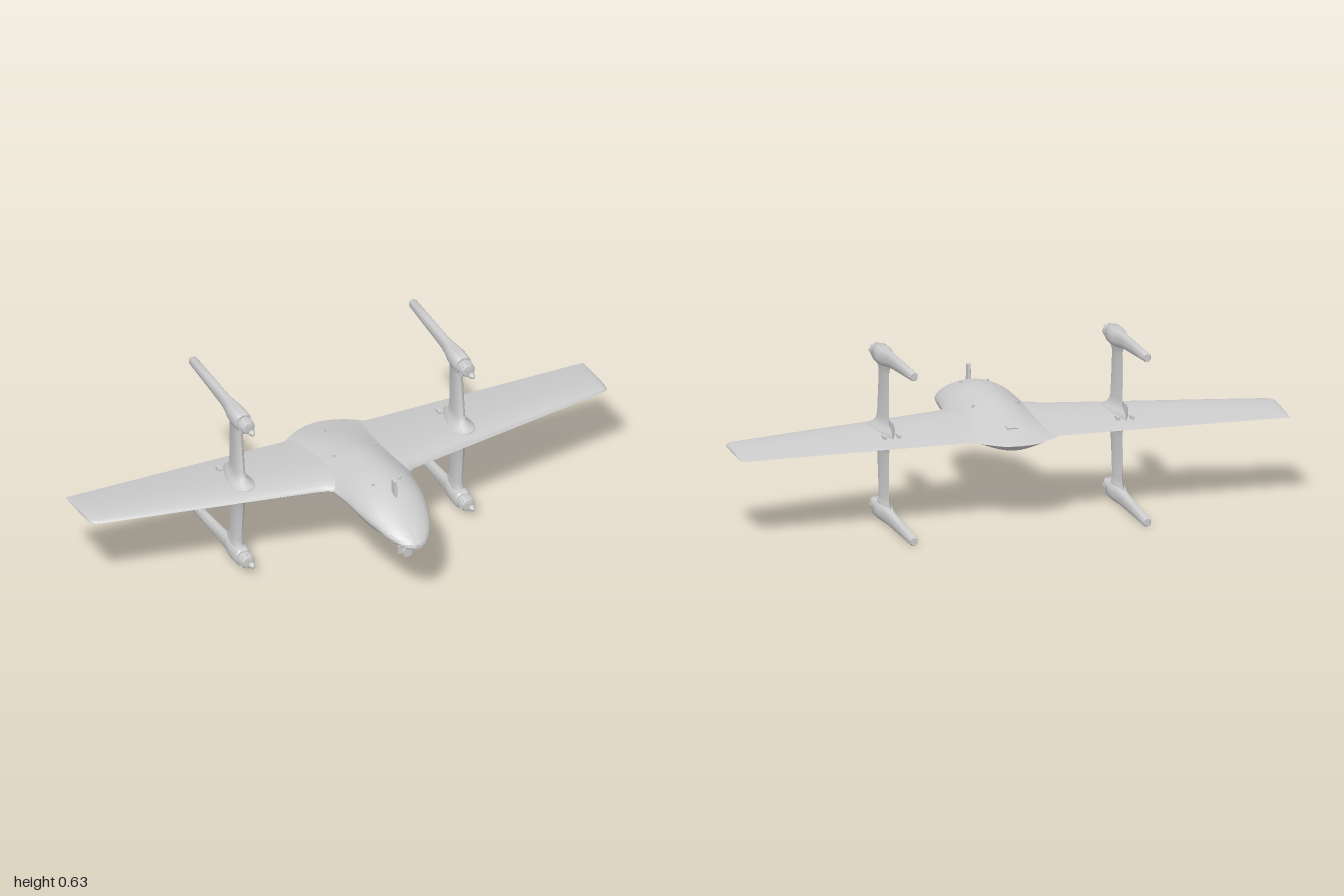
import * as THREE from 'three';
import { toCreasedNormals } from 'three/addons/utils/BufferGeometryUtils.js';

const MID = 0.3135; // height of the mirror plane between upper and lower pods
const PYLON_X = 0.425;
const grey = new THREE.MeshStandardMaterial({ color: 0xcccccc });

// Closed loft through rings of equal point count, with capped ends and outward faces
function loft(rings, crease = 0.7) {
  const n = rings[0].length, pos = [], idx = [];
  rings.forEach(r => r.forEach(p => pos.push(...p)));
  for (let i = 0; i < rings.length - 1; i++)
    for (let j = 0; j < n; j++) {
      const a = i * n + j, b = i * n + (j + 1) % n;
      idx.push(a, b, b + n, a, b + n, a + n);
    }
  const last = (rings.length - 1) * n;
  for (let j = 1; j < n - 1; j++) idx.push(0, j + 1, j, last, last + j, last + j + 1);
  // Signed volume decides the winding
  const v = i => new THREE.Vector3().fromArray(pos, i * 3);
  let volume = 0;
  for (let i = 0; i < idx.length; i += 3) volume += v(idx[i]).dot(v(idx[i + 1]).cross(v(idx[i + 2])));
  if (volume < 0) idx.reverse();
  const g = new THREE.BufferGeometry();
  g.setAttribute('position', new THREE.Float32BufferAttribute(pos, 3));
  g.setIndex(idx);
  return toCreasedNormals(g, crease);
}

// Smoothly resample a table of stations; the first column is the running coordinate
function resample(rows, count) {
  const curves = rows[0].map((_, c) => new THREE.SplineCurve(rows.map(r => new THREE.Vector2(r[0], r[c]))));
  return Array.from({ length: count + 1 }, (_, i) => curves.map(c => c.getPoint(i / count).y));
}

function add(parent, name, geometry, x = 0, y = 0, z = 0) {
  const m = new THREE.Mesh(geometry, grey);
  m.name = name;
  m.position.set(x, y, z);
  parent.add(m);
  return m;
}

// Airfoil outline as [chord fraction, height], max half height about 0.5
function airfoil(n = 14) {
  const h = c => 5 * (0.2969 * Math.sqrt(c) - 0.126 * c - 0.3516 * c * c + 0.2843 * c ** 3 - 0.1036 * c ** 4);
  const pts = [];
  for (let i = 0; i < 2 * n; i++) {
    const c = (1 + Math.cos(Math.PI * i / n)) / 2;
    pts.push([c, (i < n ? 1 : -1) * Math.max(h(c), 0)]);
  }
  return pts;
}

function fuselage() {
  // z, half width, top, bottom, seam height, upper fullness, lower fullness
  const rows = [
    [0.467, 0.018, 0.268, 0.251, 0.258, 0.5, 0.5],
    [0.45, 0.045, 0.283, 0.247, 0.263, 0.5, 0.5],
    [0.4, 0.08, 0.315, 0.244, 0.28, 0.55, 0.55],
    [0.35, 0.1, 0.341, 0.239, 0.295, 0.6, 0.65],
    [0.3, 0.116, 0.363, 0.222, 0.304, 0.6, 0.75],
    [0.24, 0.129, 0.382, 0.21, 0.311, 0.65, 0.85],
    [0.16, 0.139, 0.395, 0.212, 0.315, 0.75, 0.95],
    [0.09, 0.15, 0.396, 0.219, 0.315, 1, 1.05],
    [0, 0.165, 0.39, 0.229, 0.315, 1.4, 1.4],
    [-0.1, 0.17, 0.371, 0.242, 0.314, 1.5, 1.7],
    [-0.2, 0.17, 0.346, 0.253, 0.309, 1.4, 1.8],
    [-0.28, 0.155, 0.321, 0.262, 0.302, 1.2, 1.6],
    [-0.32, 0.108, 0.309, 0.278, 0.3, 1, 1.2],
    [-0.345, 0.06, 0.301, 0.291, 0.297, 0.8, 0.8],
    [-0.355, 0.012, 0.298, 0.296, 0.297, 0.6, 0.6],
  ];
  const n = 48;
  return loft(resample(rows, 60).map(([z, w, top, bottom, seam, ku, kl]) =>
    Array.from({ length: n }, (_, j) => {
      const a = j / n * Math.PI * 2, s = Math.sin(a);
      const y = s >= 0 ? seam + (top - seam) * s ** (2 * ku) : seam - (seam - bottom) * (-s) ** (2 * kl);
      return [w * Math.cos(a), y, z];
    })));
}

function wing() {
  // x, leading edge z, trailing edge z, thickness
  const half = [
    [0.1, 0.11, -0.3, 0.05], [0.14, 0.1, -0.288, 0.048], [0.165, 0.083, -0.284, 0.046],
    [0.2, 0.073, -0.284, 0.043], [0.45, 0.025, -0.286, 0.036], [0.75, -0.032, -0.288, 0.028],
    [0.97, -0.074, -0.29, 0.021], [0.988, -0.08, -0.29, 0.018], [0.997, -0.092, -0.29, 0.012],
    [1, -0.108, -0.288, 0.004],
  ];
  const all = [...half.map(r => [-r[0], ...r.slice(1)]).reverse(), ...half];
  return loft(all.map(([x, le, te, t]) => airfoil().map(([c, h]) =>
    [x, 0.312 - c * 0.009 + h * t * (h > 0 ? 1.4 : 0.5), le + (te - le) * c])));
}

// Vertical strut with flared ends, at x = 0
function pylon() {
  // height above the mirror plane, front z, back z, thickness
  const upper = [
    [0, 0, -0.215, 0.1], [0.022, -0.008, -0.205, 0.085], [0.032, -0.03, -0.185, 0.058],
    [0.045, -0.045, -0.172, 0.04], [0.065, -0.054, -0.167, 0.032], [0.14, -0.063, -0.166, 0.03],
    [0.225, -0.073, -0.166, 0.03], [0.24, -0.072, -0.17, 0.034], [0.252, -0.066, -0.182, 0.042],
    [0.275, -0.062, -0.2, 0.04],
  ];
  const all = [...upper.slice(1).map(r => [-r[0], ...r.slice(1)]).reverse(), ...upper];
  return loft(all.map(([y, f, b, t]) => airfoil(10).map(([c, h]) => [h * t, MID + y, f + (b - f) * c])));
}

// Motor nacelle running back into a slim boom, top side flat
function podBoom() {
  // z, half width, top, bottom
  const rows = [
    [-0.05, 0.025, 0.622, 0.567], [-0.056, 0.03, 0.626, 0.561], [-0.1, 0.031, 0.627, 0.56],
    [-0.13, 0.028, 0.627, 0.561], [-0.16, 0.021, 0.627, 0.566], [-0.2, 0.017, 0.627, 0.574],
    [-0.33, 0.016, 0.627, 0.585], [-0.46, 0.015, 0.627, 0.596], [-0.466, 0.012, 0.624, 0.599],
  ];
  const n = 28, sq = v => Math.sign(v) * Math.abs(v) ** 0.8;
  return loft(rows.map(([z, w, top, bottom]) => Array.from({ length: n }, (_, j) => {
    const a = j / n * Math.PI * 2;
    return [w * sq(Math.cos(a)), (top + bottom) / 2 + (top - bottom) / 2 * sq(Math.sin(a)), z];
  })));
}

// Motor can with ribs and a free spinner ahead of it, axis along z
function motor(parent, y) {
  const g = new THREE.Group();
  g.name = 'motor';
  g.position.y = y;
  const turned = pts => new THREE.LatheGeometry(pts.map(p => new THREE.Vector2(...p)), 24).rotateX(Math.PI / 2);
  add(g, 'motorCan', toCreasedNormals(turned([[0, -0.055], [0.02, -0.055], [0.02, -0.047], [0.026, -0.045],
    [0.026, -0.018], [0.022, -0.008], [0.012, -0.005], [0, -0.005]]), 0.5));
  for (let i = 0; i < 8; i++) {
    const a = i / 8 * Math.PI * 2;
    add(g, 'motorRib', new THREE.BoxGeometry(0.005, 0.007, 0.03), 0.025 * Math.cos(a), 0.025 * Math.sin(a), -0.03)
      .rotation.z = a;
  }
  add(g, 'spinner', turned([[0, 0.01], [0.01, 0.01], [0.012, 0.014], [0.009, 0.024], [0.004, 0.03], [0, 0.031]]), 0, -0.004);
  parent.add(g);
}

export function createModel() {
  const model = new THREE.Group();
  model.name = 'aircraft';
  add(model, 'fuselage', fuselage());
  add(model, 'wing', wing());

  // Lift struts with a pod at each end
  for (const side of [-1, 1]) {
    const strut = new THREE.Group();
    strut.name = side > 0 ? 'leftStrut' : 'rightStrut';
    strut.position.x = side * PYLON_X;
    add(strut, 'pylon', pylon());
    for (const flip of [false, true]) {
      const pod = new THREE.Group();
      pod.name = flip ? 'lowerPod' : 'upperPod';
      add(pod, 'podBoom', podBoom());
      motor(pod, 0.592);
      if (flip) {
        pod.rotation.z = Math.PI; // half turn puts the flat side down
        pod.position.y = 2 * MID;
      }
      strut.add(pod);
    }
    // Fastening lugs on the wing beside the strut
    for (const s of [-1, 1])
      add(strut, 'wingLug', new THREE.BoxGeometry(0.012, 0.012, 0.03), s * 0.026, 0.323, -0.195);
    model.add(strut);

    // Small fittings on the body and vents along the belly
    add(model, 'wingStud', new THREE.CylinderGeometry(0.005, 0.005, 0.012, 12), side * 0.08, 0.364, -0.04);
    add(model, 'noseStud', new THREE.CylinderGeometry(0.005, 0.005, 0.008, 12), side * 0.05, 0.382, 0.21);
    for (let i = 0; i < 5; i++)
      add(model, 'bellyVent', new THREE.BoxGeometry(0.012, 0.008, 0.02), side * 0.05, 0.224 + i * 0.0045, 0.21 - i * 0.045);
  }

  // Dorsal blade antenna and rear hatch
  const blade = new THREE.Shape([[-0.014, 0], [0.016, 0], [0.013, 0.06], [-0.009, 0.055]].map(p => new THREE.Vector2(...p)));
  add(model, 'antenna', new THREE.ExtrudeGeometry(blade, { depth: 0.006, bevelEnabled: true, bevelSize: 0.002, bevelThickness: 0.002, bevelSegments: 2 })
    .translate(0, 0, -0.003).rotateY(Math.PI / 2), 0, 0.368, 0.28);
  add(model, 'rearHatch', new THREE.BoxGeometry(0.04, 0.006, 0.022), 0, 0.335, -0.24).rotation.x = -0.3;

  // Belly fairing behind the camera
  add(model, 'bellyFairing', new THREE.CylinderGeometry(0.042, 0.026, 0.045, 24).scale(1, 1, 0.95), 0, 0.216, 0.287);

  // Nose camera: mount, yoke and lens
  const camera = new THREE.Group();
  camera.name = 'noseCamera';
  camera.position.z = 0.345;
  add(camera, 'cameraMount', new THREE.BoxGeometry(0.036, 0.012, 0.022), 0, 0.235);
  add(camera, 'cameraArm', new THREE.BoxGeometry(0.012, 0.065, 0.012), 0.016, 0.2);
  add(camera, 'cameraBack', new THREE.BoxGeometry(0.036, 0.032, 0.012), 0, 0.183);
  add(camera, 'cameraLens', new THREE.CylinderGeometry(0.018, 0.018, 0.008, 20).rotateX(Math.PI / 2), 0, 0.19, 0.037);
  model.add(camera);
  return model;
}
